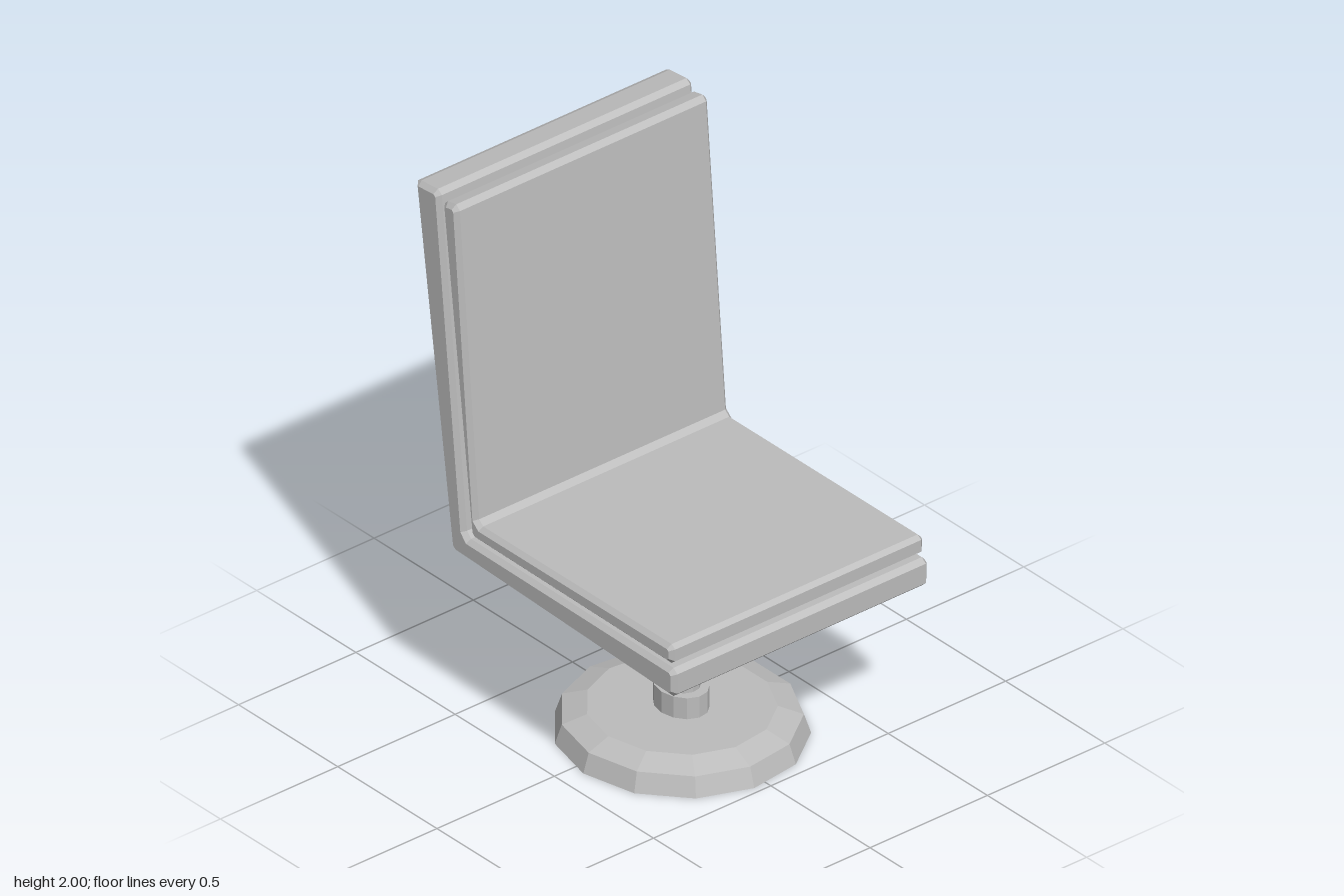
import * as THREE from 'three';

const grey = new THREE.MeshStandardMaterial({ color: 0xbcbcbc, flatShading: true });
grey.name = 'plain grey';

// Extrudes a side profile of [z, y] points across x, with chamfered side edges
function sideSlab(name, points, halfWidth, chamfer) {
  const shape = new THREE.Shape(points.map(([z, y]) => new THREE.Vector2(z, y)));
  const depth = 2 * (halfWidth - chamfer);
  const geometry = new THREE.ExtrudeGeometry(shape, {
    depth,
    bevelEnabled: true,
    bevelSegments: 1,
    bevelThickness: chamfer,
    bevelSize: chamfer,
    bevelOffset: -chamfer,
  });
  geometry.translate(0, 0, -depth / 2);
  geometry.rotateY(-Math.PI / 2);
  const mesh = new THREE.Mesh(geometry, grey);
  mesh.name = name;
  return mesh;
}

// Faceted turned part; the profile holds [x radius, z radius, y] rings, bottom to top
function turned(name, rings, sides = 13) {
  const profile = rings.map(([, , y], i) => new THREE.Vector2(rings[i][0], y));
  const geometry = new THREE.LatheGeometry(profile, sides, -Math.PI / 2);
  const ratio = Math.max(...rings.map((r) => r[1])) / Math.max(...rings.map((r) => r[0]));
  geometry.scale(1, 1, ratio);
  const mesh = new THREE.Mesh(geometry, grey);
  mesh.name = name;
  mesh.position.z = 0.048;
  return mesh;
}

export function createModel() {
  const chair = new THREE.Group();
  chair.name = 'swivelChair';

  // Bent outer shell: seat pan and backrest in one piece
  chair.add(sideSlab('outerShell', [
    [0.635, 0.62], [-0.45, 0.66], [-0.472, 0.677],
    [-0.653, 1.985], [-0.635, 1.993], [-0.552, 2.0], [-0.532, 1.985],
    [-0.405, 0.76], [-0.385, 0.738],
    [0.635, 0.728], [0.655, 0.712], [0.655, 0.638],
  ], 0.545, 0.016));

  // Bent cushion lying inside the shell
  chair.add(sideSlab('cushion', [
    [0.62, 0.738], [-0.36, 0.75], [-0.38, 0.768],
    [-0.523, 1.957], [-0.507, 1.972], [-0.465, 1.98], [-0.447, 1.962],
    [-0.35, 0.828], [-0.33, 0.81],
    [0.62, 0.81], [0.638, 0.797], [0.638, 0.752],
  ], 0.54, 0.016));

  // Post, collar and round foot
  chair.add(turned('post', [[0.061, 0.069, 0.1], [0.061, 0.069, 0.68]]));
  chair.add(turned('collar', [
    [0.084, 0.104, 0.09], [0.084, 0.104, 0.18], [0, 0, 0.18],
  ]));
  chair.add(turned('foot', [
    [0, 0, 0], [0.417, 0.431, 0], [0.394, 0.407, 0.07], [0.31, 0.32, 0.1], [0, 0, 0.1],
  ]));

  return chair;
}
